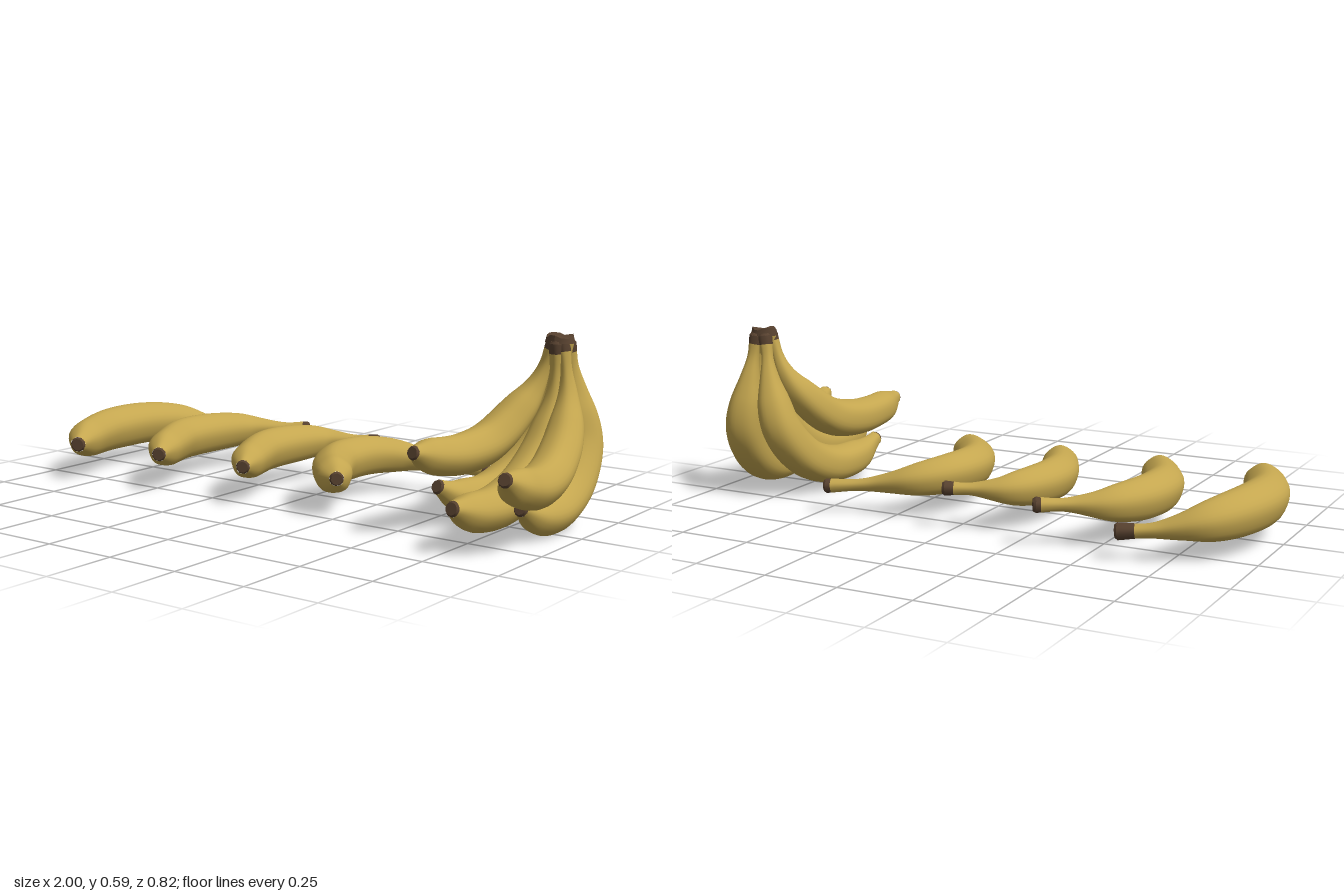
import * as THREE from 'three';

const peel = new THREE.MeshStandardMaterial({ color: 0xc4a64f });
peel.name = 'banana peel';
const brown = new THREE.MeshStandardMaterial({ color: 0x57412f });
brown.name = 'dried brown';

const SIDES = 30;
const lerp = THREE.MathUtils.lerp;

// Relative thickness from blossom tip to stem, shared by every banana
const thickness = new THREE.SplineCurve(
  [0.34, 0.8, 0.91, 0.97, 1, 0.99, 0.94, 0.8, 0.5, 0.29, 0.35].map((r, i) => new THREE.Vector2(i, r)));

// Position, ring axes and radius at fraction u of the banana's length
function makeSpine(points, radius, skew, ref) {
  const curve = new THREE.CatmullRomCurve3(points);
  return u => {
    const pos = curve.getPointAt(u);
    const tan = curve.getTangentAt(u);
    const n = ref.clone().addScaledVector(tan, -ref.dot(tan)).normalize();
    const b = tan.clone().cross(n);
    return { pos, tan, n, b, r: radius * thickness.getPoint(Math.pow(u, skew)).y };
  };
}

// Skin of gently five-ribbed rings between two fractions of the spine
function sweep(spine, u0, u1, rings) {
  const pos = [], idx = [];
  for (let i = 0; i <= rings; i++) {
    const s = spine(lerp(u0, u1, i / rings));
    for (let j = 0; j < SIDES; j++) {
      const a = j / SIDES * Math.PI * 2;
      const r = s.r * (1 + 0.025 * Math.cos(5 * a));
      const v = s.pos.clone().addScaledVector(s.n, r * Math.cos(a)).addScaledVector(s.b, r * Math.sin(a));
      pos.push(v.x, v.y, v.z);
      if (i < rings) {
        const k = (j + 1) % SIDES, p = i * SIDES, q = p + SIDES;
        idx.push(p + j, p + k, q + j, p + k, q + k, q + j);
      }
    }
  }
  const g = new THREE.BufferGeometry();
  g.setAttribute('position', new THREE.Float32BufferAttribute(pos, 3));
  g.setIndex(idx);
  g.computeVertexNormals();
  return g;
}

function add(group, name, geometry, material) {
  const m = new THREE.Mesh(geometry, material);
  m.name = name;
  group.add(m);
  return m;
}

// Thin dried disc closing one end
function addEnd(group, name, s, dir) {
  const disc = add(group, name, new THREE.CylinderGeometry(s.r * 0.8, s.r * 1.02, 0.009, 10), brown);
  const out = s.tan.clone().multiplyScalar(dir);
  disc.position.copy(s.pos).addScaledVector(out, 0.003);
  disc.quaternion.setFromUnitVectors(new THREE.Vector3(0, 1, 0), out);
}

function banana(name, points, radius, skew, dried, ref) {
  const group = new THREE.Group();
  group.name = name;
  const spine = makeSpine(points, radius, skew, ref);
  add(group, 'peel', sweep(spine, 0, 1 - dried, 56), peel);
  add(group, 'driedStem', sweep(spine, 1 - dried, 1, 5), brown);
  addEnd(group, 'blossomTip', spine(0), -1);
  addEnd(group, 'stemEnd', spine(1), 1);
  return group;
}

// Loose banana lying flat: path of [x, z], with the stem easing to its own height
function looseBanana(name, path, radius, stemY, dried, skew) {
  const points = path.map(([x, z], i) =>
    new THREE.Vector3(x, lerp(0.134, stemY, THREE.MathUtils.smoothstep(i, 3, 6)), z));
  return banana(name, points, radius, skew, dried, new THREE.Vector3(0, 1, 0));
}

// Hanging banana: path of [z, y], with x easing from the tip to the crown
function finger(name, path, radius, tipX, stemX, ease, skew, lift = 0) {
  const points = path.map(([z, y], i) => {
    const t = i / (path.length - 1);
    return new THREE.Vector3(lerp(tipX, stemX, Math.pow(t, ease)), y + lift * (1 - t), z);
  });
  return banana(name, points, radius, skew, 0.035, new THREE.Vector3(1, 0, 0));
}

export function createModel() {
  const model = new THREE.Group();
  model.name = 'bananas';

  // Four loose bananas lying in a row
  model.add(
    looseBanana('looseBanana1', [[-0.805, 0.325], [-0.87, 0.2], [-0.92, 0.04], [-0.905, -0.14],
      [-0.83, -0.285], [-0.72, -0.348], [-0.6, -0.383]], 0.077, 0.092, 0.06, 1),
    looseBanana('looseBanana2', [[-0.458, 0.285], [-0.525, 0.16], [-0.582, 0.02], [-0.575, -0.13],
      [-0.515, -0.255], [-0.425, -0.322], [-0.325, -0.382]], 0.071, 0.14, 0.02, 1),
    looseBanana('looseBanana3', [[-0.098, 0.272], [-0.158, 0.155], [-0.212, 0.01], [-0.208, -0.12],
      [-0.155, -0.24], [-0.07, -0.29], [0.024, -0.33]], 0.068, 0.14, 0.04, 1),
    looseBanana('looseBanana4', [[0.255, 0.235], [0.165, 0.135], [0.107, 0.01], [0.122, -0.13],
      [0.2, -0.228], [0.34, -0.275], [0.482, -0.322]], 0.069, 0.092, 0.02, 0.75));

  // Hand of five bananas hanging from one crown; the lower pair share a path
  const hand = new THREE.Group();
  hand.name = 'bananaHand';
  const lower = [[0.185, 0.118], [0.08, 0.076], [-0.05, 0.074], [-0.17, 0.13],
    [-0.252, 0.24], [-0.255, 0.37], [-0.23, 0.565]];
  hand.add(
    finger('upperLeftBanana', [[0.393, 0.25], [0.27, 0.202], [0.13, 0.182], [0, 0.203],
      [-0.12, 0.283], [-0.188, 0.4], [-0.2, 0.57]], 0.068, 0.955, 0.815, 1.2, 1),
    finger('upperRightBanana', [[0.325, 0.275], [0.2, 0.245], [0.08, 0.238], [-0.03, 0.262],
      [-0.125, 0.335], [-0.185, 0.43], [-0.198, 0.57]], 0.066, 0.602, 0.783, 1.8, 1),
    finger('middleBanana', [[0.402, 0.145], [0.27, 0.112], [0.13, 0.111], [-0.01, 0.153],
      [-0.12, 0.24], [-0.185, 0.38], [-0.186, 0.565]], 0.071, 0.788, 0.8, 1, 1),
    finger('lowerLeftBanana', lower, 0.071, 0.892, 0.818, 2.3, 1.15),
    finger('lowerRightBanana', lower, 0.07, 0.602, 0.782, 1.3, 1.15, 0.028));

  // Crown: a peel collar with a rough dried top
  const collar = add(hand, 'crownCollar', new THREE.CylinderGeometry(0.046, 0.032, 0.065, 14), peel);
  collar.position.set(0.8, 0.535, -0.21);
  collar.scale.z = 0.72;
  const topGeo = new THREE.CylinderGeometry(0.044, 0.05, 0.022, 14);
  const p = topGeo.attributes.position;
  for (let i = 0; i < p.count; i++) {
    if (p.getY(i) > 0) p.setY(i, p.getY(i) + 0.006 * Math.sin(p.getX(i) * 90 + p.getZ(i) * 60));
  }
  topGeo.computeVertexNormals();
  const top = add(hand, 'crownTop', topGeo, brown);
  top.position.set(0.8, 0.577, -0.208);
  top.scale.z = 0.8;
  model.add(hand);
  return model;
}
